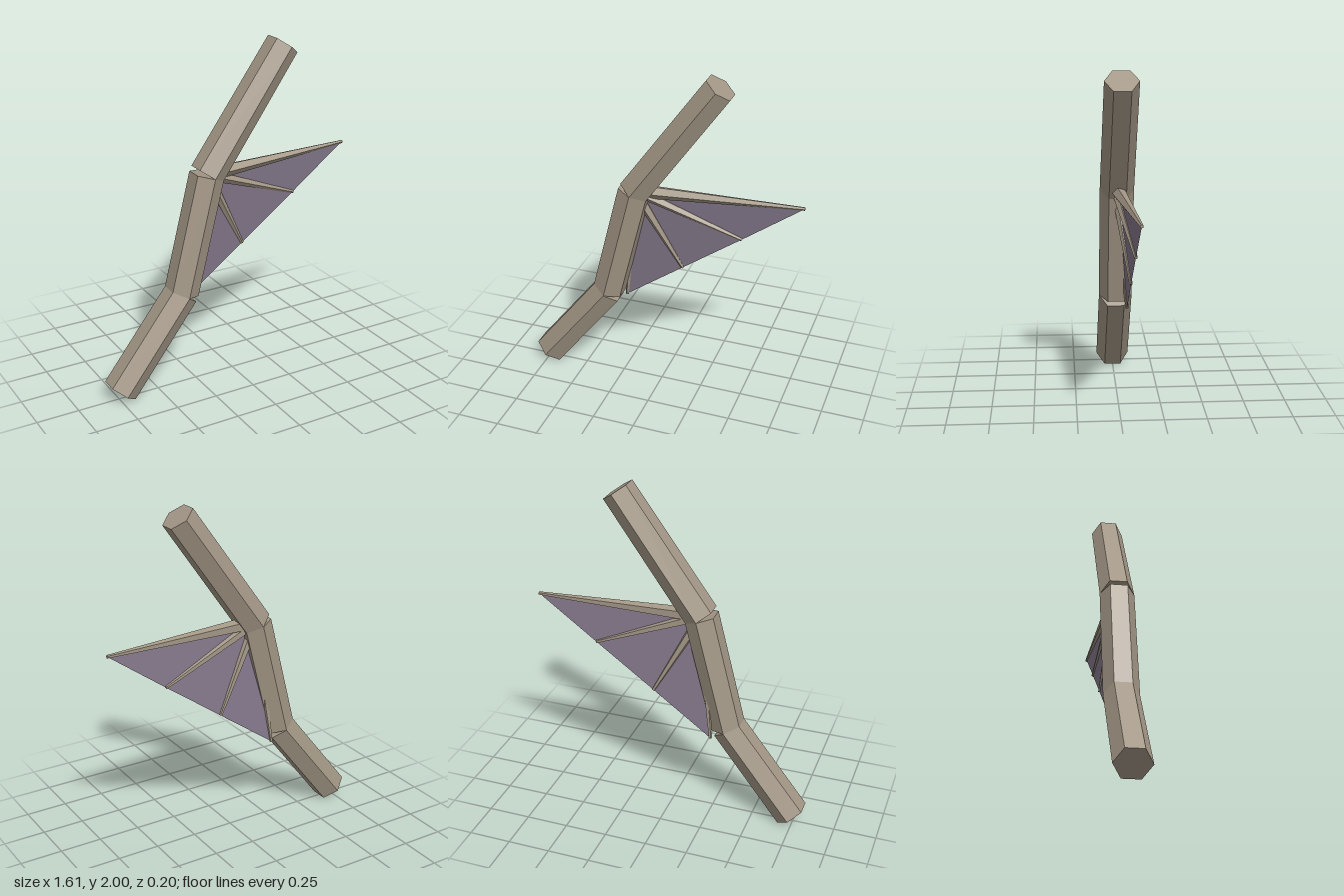
import * as THREE from 'three';

const bone = new THREE.MeshStandardMaterial({ color: 0xa39786, flatShading: true });
bone.name = 'bone tan';
const skin = new THREE.MeshStandardMaterial({ color: 0x83778a, flatShading: true, side: THREE.DoubleSide });
skin.name = 'membrane mauve';

const V = (x, y, z = 0) => new THREE.Vector3(x, y, z);

// Tapered prism from a to b, with one ridge kept facing the front
function limb(name, a, b, r0, r1, sides) {
  const dir = b.clone().sub(a);
  const mesh = new THREE.Mesh(new THREE.CylinderGeometry(r1, r0, dir.length(), sides), bone);
  const y = dir.normalize();
  const x = y.clone().cross(V(0, 0, 1)).normalize();
  const z = x.clone().cross(y);
  mesh.quaternion.setFromRotationMatrix(new THREE.Matrix4().makeBasis(x, y, z));
  mesh.position.copy(a).add(b).multiplyScalar(0.5);
  mesh.name = name;
  return mesh;
}

export function createModel() {
  const group = new THREE.Group();
  group.name = 'wing';

  // Arm: three six-sided segments
  const foot = V(-0.74, 0.055), elbow = V(-0.335, 0.58), wrist = V(-0.162, 1.268), top = V(0.325, 1.953);
  group.add(
    limb('lowerArm', foot, elbow, 0.102, 0.1, 6),
    limb('middleArm', elbow, wrist, 0.1, 0.1, 6),
    limb('upperArm', wrist, top, 0.1, 0.095, 6),
  );

  // Fingers fan out from the wrist and lean backwards
  const tips = [V(0.803, 1.285, -0.07), V(0.455, 1.028, -0.067), V(0.105, 0.774, -0.066), V(-0.247, 0.518, -0.067)];
  tips.forEach((tip, i) => {
    group.add(limb('finger' + (i + 1), wrist, tip, i ? 0.034 : 0.043, 0.01, 5));
  });

  // Skin stretched between neighbouring fingers
  for (let i = 0; i < tips.length - 1; i++) {
    const geometry = new THREE.BufferGeometry().setFromPoints([wrist, tips[i + 1], tips[i]]);
    geometry.computeVertexNormals();
    const panel = new THREE.Mesh(geometry, skin);
    panel.name = 'membrane' + (i + 1);
    group.add(panel);
  }
  return group;
}
